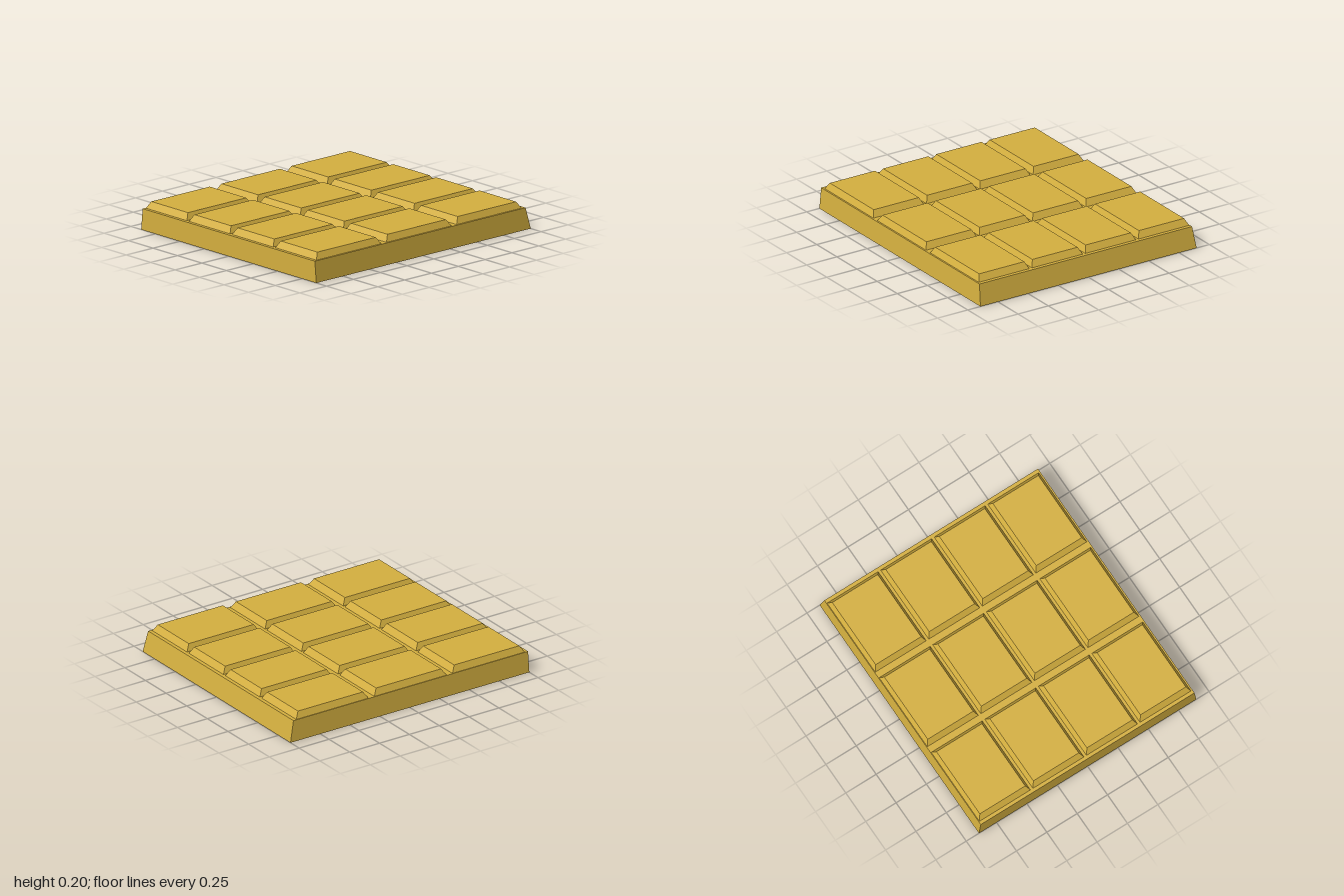
import * as THREE from 'three';

const material = new THREE.MeshStandardMaterial({ color: 0xd4af3f, flatShading: true });

// Box whose top rectangle differs from its bottom one; each rectangle is [x0, x1, z0, z1].
function taperedBlock(name, bottom, top, y0, y1) {
  const geometry = new THREE.BoxGeometry(1, 1, 1);
  const p = geometry.attributes.position;
  for (let i = 0; i < p.count; i++) {
    const upper = p.getY(i) > 0;
    const r = upper ? top : bottom;
    p.setXYZ(i, r[p.getX(i) > 0 ? 1 : 0], upper ? y1 : y0, r[p.getZ(i) > 0 ? 3 : 2]);
  }
  geometry.computeVertexNormals();
  const mesh = new THREE.Mesh(geometry, material);
  mesh.name = name;
  return mesh;
}

export function createModel() {
  const bar = new THREE.Group();
  bar.name = 'chocolateBar';

  // Slab: sloped front, back and +x side, upright on the -x side
  const baseTop = 0.153;
  bar.add(taperedBlock('slab', [-1, 1, -0.895, 0.895], [-1, 0.965, -0.88, 0.88], 0, baseTop));

  // Raised squares: three columns by four rows with bevelled sides
  const width = 0.605, depth = 0.42, insetX = 0.03, insetZ = 0.023;
  for (let col = 0; col < 3; col++) {
    for (let row = 0; row < 4; row++) {
      const x = -0.975 + col * 0.654;
      const z = -0.875 + row * 0.441;
      bar.add(taperedBlock(
        `square${row + 1}_${col + 1}`,
        [x, x + width, z, z + depth],
        [x + insetX, x + width - insetX, z + insetZ, z + depth - insetZ],
        baseTop, 0.2
      ));
    }
  }
  return bar;
}
